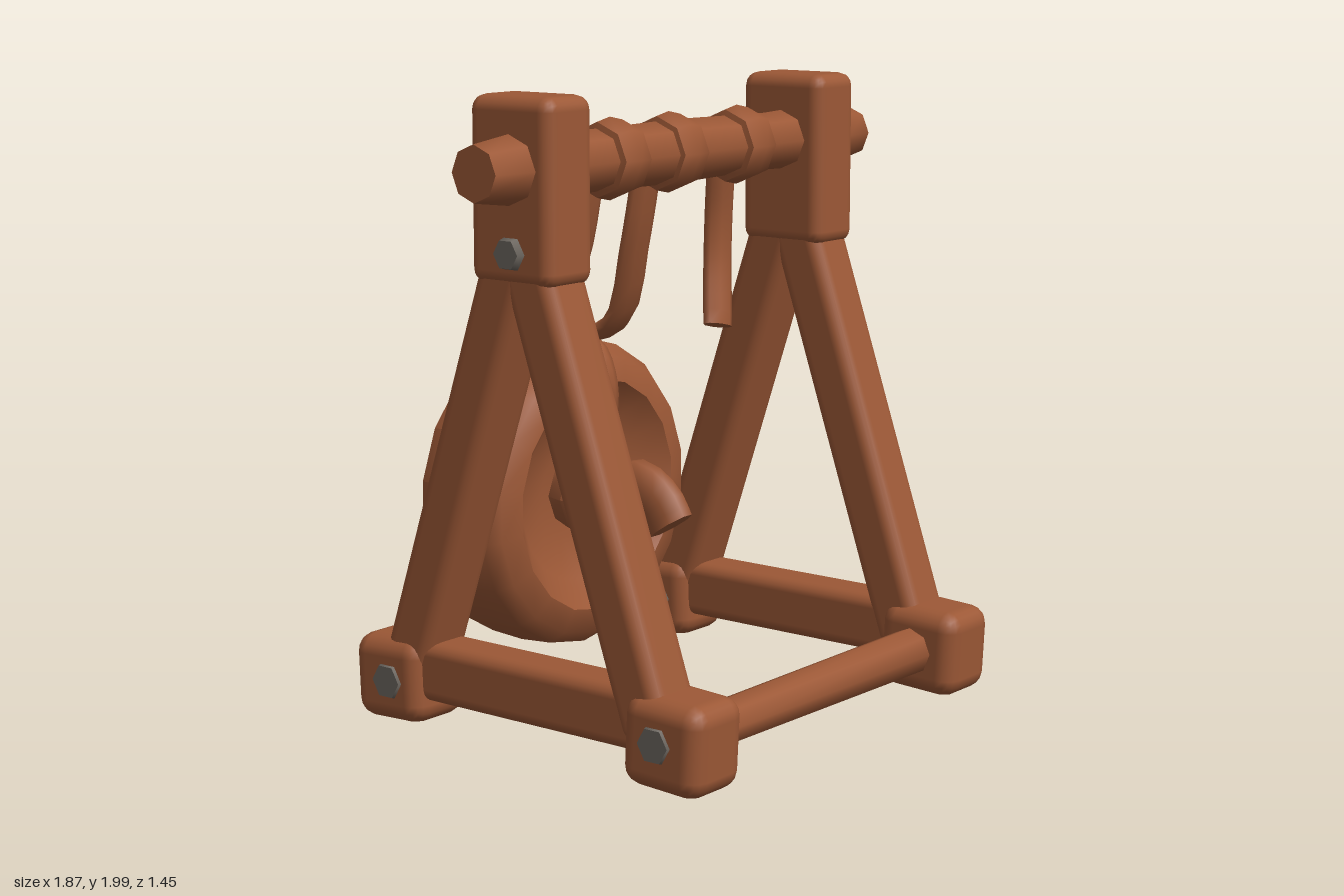
import * as THREE from 'three';
import { toCreasedNormals } from 'three/addons/utils/BufferGeometryUtils.js';
import { RoundedBoxGeometry } from 'three/addons/geometries/RoundedBoxGeometry.js';

const wood = new THREE.MeshStandardMaterial({ color: 0x9c5836 });
wood.name = 'brown wood';
const iron = new THREE.MeshStandardMaterial({ color: 0x6c665f });
iron.name = 'grey iron';

export function createModel() {
  const model = new THREE.Group();
  model.name = 'grindstoneFrame';

  function add(parent, name, geometry, material = wood) {
    const mesh = new THREE.Mesh(geometry, material);
    mesh.name = name;
    parent.add(mesh);
    return mesh;
  }

  // Softly bevelled block
  function block(parent, name, size, pos, radius = 0.045, tilt = 0) {
    const mesh = add(parent, name, new RoundedBoxGeometry(...size, 2, radius));
    mesh.position.set(...pos);
    mesh.rotation.x = tilt;
    return mesh;
  }

  // Turned shape from [radius, height] points, laid along x or z
  function turned(parent, name, profile, sides, axis, pos, material = wood) {
    let g = new THREE.LatheGeometry(profile.map(p => new THREE.Vector2(...p)), sides);
    g = toCreasedNormals(g, 0.9);
    if (axis === 'x') g.rotateZ(-Math.PI / 2);
    else g.rotateX(Math.PI / 2);
    const mesh = add(parent, name, g, material);
    mesh.position.set(...pos);
    return mesh;
  }

  // Bend a cylinder along a curve, keeping its width near the x direction
  function sweep(parent, name, points, halfWidth, halfThick, steps = 14) {
    const curve = new THREE.CatmullRomCurve3(points.map(p => new THREE.Vector3(...p)));
    const g = new THREE.CylinderGeometry(1, 1, 1, 8, steps);
    g.rotateY(Math.PI / 8);
    const pos = g.attributes.position, v = new THREE.Vector3();
    for (let i = 0; i < pos.count; i++) {
      v.fromBufferAttribute(pos, i);
      const t = Math.min(1, Math.max(0, v.y + 0.5));
      const c = curve.getPoint(t), T = curve.getTangent(t);
      const W = new THREE.Vector3(1, 0, 0).addScaledVector(T, -T.x).normalize();
      const N = new THREE.Vector3().crossVectors(W, T);
      c.addScaledVector(W, v.x * halfWidth).addScaledVector(N, v.z * halfThick);
      pos.setXYZ(i, c.x, c.y, c.z);
    }
    g.computeVertexNormals();
    return add(parent, name, g);
  }

  // Small iron peg showing on one side face
  function peg(parent, x, y, z, r, dir) {
    const g = new THREE.CylinderGeometry(r * 0.85, r, 0.03, 6);
    g.rotateZ(-dir * Math.PI / 2);
    add(parent, 'peg', g, iron).position.set(x, y, z);
  }

  // Two A-shaped side frames
  for (const side of [1, -1]) {
    const frame = new THREE.Group();
    frame.name = side > 0 ? 'leftFrame' : 'rightFrame';
    frame.position.x = side > 0 ? 0.655 : -0.68;
    model.add(frame);

    block(frame, 'postHead', [0.21, 0.56, 0.32], [0, 1.72, 0.01]);
    for (const [name, z0, z1] of [['frontLeg', 0.505, 0.01], ['backLeg', -0.485, 0]]) {
      const dy = 1.45, dz = z1 - z0;
      block(frame, name, [0.19, Math.hypot(dy, dz), 0.18],
        [0, 0.15 + dy / 2, (z0 + z1) / 2], 0.045, Math.atan2(dz, dy));
    }
    block(frame, 'frontFoot', [0.24, 0.28, 0.29], [0, 0.15, 0.575], 0.06, 0.05);
    block(frame, 'backFoot', [0.24, 0.27, 0.28], [0, 0.16, -0.515], 0.06, -0.04);
    block(frame, 'sideRail', [0.17, 0.19, 0.95], [0, 0.2, 0.03], 0.04);

    peg(frame, side * 0.115, 1.54, 0.02, 0.055, side);
    peg(frame, side * 0.115, 0.16, 0.565, 0.065, side);
    for (const d of [side, -side]) peg(frame, d * 0.115, 0.16, -0.5, 0.065, d);
  }

  // Top beam and front stretcher
  turned(model, 'topBeam',
    [[0, -0.935], [0.085, -0.935], [0.105, -0.78], [0.095, -0.4], [0.1, 0],
      [0.092, 0.45], [0.105, 0.8], [0.085, 0.935], [0, 0.935]], 8, 'x', [0, 1.785, 0.015]);
  turned(model, 'frontStretcher',
    [[0, -0.55], [0.07, -0.55], [0.078, 0.6], [0, 0.6]], 8, 'x', [0, 0.148, 0.56]);

  // Strap loops around the beam
  for (const x of [-0.325, -0.04, 0.31]) {
    turned(model, 'strapLoop',
      [[0.09, -0.065], [0.115, -0.06], [0.127, 0], [0.115, 0.06], [0.09, 0.065]],
      8, 'x', [x, 1.785, 0.015]);
  }

  // Hanging straps
  sweep(model, 'sideStrap', [[-0.33, 1.74, -0.06], [-0.325, 1.52, -0.11], [-0.3, 1.35, -0.19],
    [-0.22, 1.19, -0.28], [-0.09, 1.15, -0.43], [-0.03, 1.17, -0.56]], 0.06, 0.035);
  sweep(model, 'middleStrap', [[-0.04, 1.74, -0.07], [-0.025, 1.5, -0.13], [0.02, 1.22, -0.25],
    [0, 1.16, -0.42], [-0.03, 1.18, -0.57], [-0.03, 1.06, -0.67], [-0.03, 0.9, -0.65],
    [-0.03, 0.72, -0.65]], 0.065, 0.03, 24);
  sweep(model, 'looseStrap', [[0.29, 1.74, -0.03], [0.315, 1.55, -0.06], [0.31, 1.4, -0.06],
    [0.26, 1.2, -0.02]], 0.062, 0.035);
  sweep(model, 'frontWheelStrap', [[-0.03, 1.16, -0.48], [-0.05, 1.14, -0.3], [-0.05, 1.02, -0.245],
    [-0.04, 0.88, -0.26], [-0.03, 0.7, -0.3]], 0.065, 0.03);

  // Dished wheel with rounded rim
  turned(model, 'wheel',
    [[0, 0.12], [0.15, 0.12], [0.28, 0.09], [0.36, 0.01], [0.46, 0], [0.5, 0.03],
      [0.508, 0.16], [0.5, 0.28], [0.46, 0.33], [0.38, 0.35], [0.29, 0.27], [0.15, 0.23], [0, 0.23]],
    18, 'z', [-0.03, 0.65, -0.63]);

  // Hubs and crank
  turned(model, 'backHub',
    [[0, 0], [0.09, 0], [0.135, 0.04], [0.135, 0.12], [0.1, 0.22], [0, 0.22]],
    8, 'z', [-0.035, 0.64, -0.73]);
  turned(model, 'frontHub',
    [[0, 0], [0.1, 0], [0.135, 0.1], [0.12, 0.16], [0.07, 0.19], [0, 0.19]],
    8, 'z', [-0.035, 0.65, -0.43]);
  sweep(model, 'crank', [[-0.03, 0.64, -0.4], [-0.03, 0.66, -0.26], [-0.03, 0.71, -0.12],
    [-0.025, 0.66, -0.03], [-0.025, 0.59, 0.015]], 0.055, 0.085, 10);

  return model;
}
